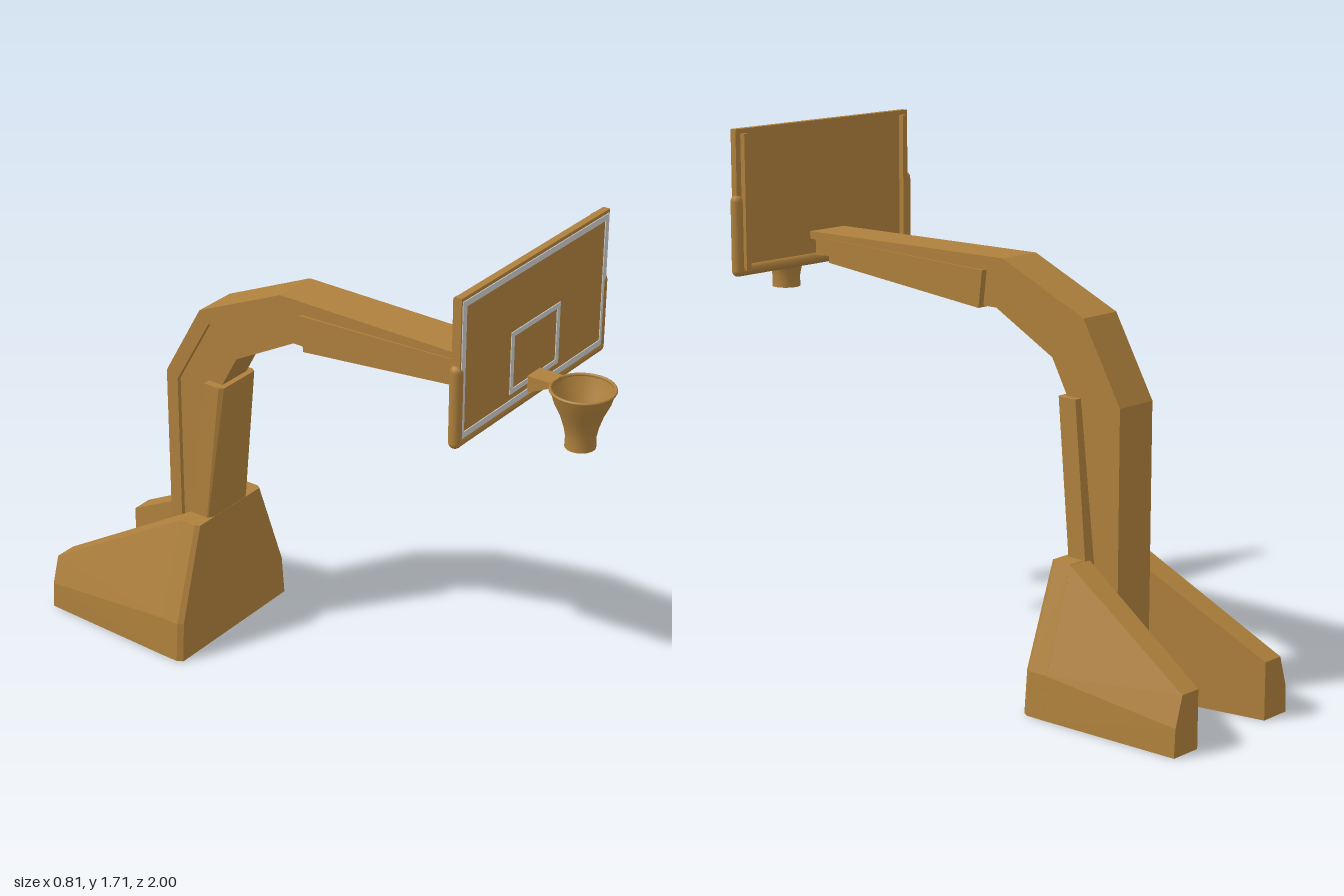
import * as THREE from 'three';
import { ConvexGeometry } from 'three/addons/geometries/ConvexGeometry.js';

export function createModel() {
  const root = new THREE.Group();
  const brown = new THREE.MeshStandardMaterial({ color: 0xae803c });
  const smooth = new THREE.MeshStandardMaterial({ color: 0xae803c, side: THREE.DoubleSide });
  const grey = new THREE.MeshStandardMaterial({ color: 0xcccccc });

  const add = (name, geo, mat = brown) => {
    const mesh = new THREE.Mesh(geo, mat);
    mesh.name = name;
    root.add(mesh);
    return mesh;
  };
  const box = (name, x0, x1, y0, y1, z0, z1, mat) =>
    add(name, new THREE.BoxGeometry(x1 - x0, y1 - y0, z1 - z0), mat)
      .position.set((x0 + x1) / 2, (y0 + y1) / 2, (z0 + z1) / 2);
  const hull = (name, pts) =>
    add(name, new ConvexGeometry(pts.map(p => new THREE.Vector3(...p))));
  // convex solid symmetric about x = 0
  const symHull = (name, pts) => hull(name, pts.flatMap(([x, y, z]) => [[x, y, z], [-x, y, z]]));
  // side outline given as [z, y], extruded across x
  const sideSlab = (name, pts, halfWidth) => {
    const shape = new THREE.Shape(pts.map(p => new THREE.Vector2(...p)));
    const geo = new THREE.ExtrudeGeometry(shape, { depth: halfWidth * 2, bevelEnabled: false });
    geo.translate(0, 0, -halfWidth).rotateY(-Math.PI / 2);
    return add(name, geo);
  };

  // Base: front block and two splayed rear legs
  symHull('baseFront', [
    [0.275, 0, -0.42], [0.265, 0.14, -0.422], [0.157, 0.465, -0.43],
    [0.287, 0, -0.44], [0.277, 0.14, -0.44], [0.167, 0.465, -0.445],
    [0.287, 0, -0.51], [0.277, 0.14, -0.51], [0.167, 0.465, -0.507]]);
  for (const s of [1, -1]) {
    hull(s > 0 ? 'leftBaseLeg' : 'rightBaseLeg', [
      [0.08, 0, -0.5], [0.287, 0, -0.5], [0.277, 0.14, -0.5], [0.167, 0.465, -0.505], [0.08, 0.465, -0.505],
      [0.165, 0, -1], [0.275, 0, -1], [0.27, 0.09, -1], [0.24, 0.185, -1], [0.165, 0.185, -1],
    ].map(([x, y, z]) => [x * s, y, z]));
  }

  // Curved mast: wide outer flange over a narrower web
  const outer = [[-0.62, 0], [-0.62, 0.95], [-0.475, 1.205], [-0.15, 1.35], [0.7, 1.345]];
  const middle = [[0.7, 1.32], [-0.135, 1.305], [-0.44, 1.165], [-0.575, 0.93], [-0.575, 0]];
  sideSlab('mastFlange', [...outer, ...middle], 0.077);
  sideSlab('mastWeb', [
    [-0.58, 0], [-0.58, 0.93], [-0.443, 1.17], [-0.135, 1.31], [0.69, 1.325],
    [0.69, 1.265], [0.6, 1.27], [-0.05, 1.19], [-0.11, 1.19], [-0.34, 1.065], [-0.4, 0.955],
    [-0.46, 0.88], [-0.505, 0.47], [-0.505, 0]], 0.062);

  // Sleeve around the forward arm
  symHull('armSleeve', [
    [0.084, 1.185, -0.055], [0.084, 1.305, -0.07], [0.08, 1.25, 0.61], [0.08, 1.328, 0.61]]);

  // Slanted front support
  symHull('frontSupport', [
    [0.078, 0.955, -0.38], [0.088, 0.955, -0.395], [0.088, 0.955, -0.455],
    [0.083, 0.3, -0.448], [0.107, 0.3, -0.463], [0.107, 0.3, -0.53]]);

  // Backboard, rear rails and edge padding
  box('backboard', -0.39, 0.39, 1.25, 1.705, 0.707, 0.73);
  for (const s of [1, -1]) {
    box('rearRail', s * 0.36 - 0.01, s * 0.36 + 0.01, 1.25, 1.69, 0.688, 0.71);
  }
  const pad = new THREE.CurvePath();
  const corners = [[-0.384, 1.475], [-0.384, 1.251], [0.384, 1.251], [0.384, 1.475]];
  for (let i = 0; i < 3; i++) {
    pad.add(new THREE.LineCurve3(
      new THREE.Vector3(...corners[i], 0.715), new THREE.Vector3(...corners[i + 1], 0.715)));
  }
  pad.curves.forEach((c, i) => {
    const len = c.getLength();
    const geo = new THREE.CapsuleGeometry(0.02, len, 4, 12);
    if (i === 1) geo.rotateZ(Math.PI / 2);
    add(i === 1 ? 'bottomPad' : 'sidePad', geo).position.copy(c.getPoint(0.5));
  });

  // Painted rectangular borders
  const border = (name, hx, y0, y1, t) => {
    const rect = (P, a, b, c) => new P([
      new THREE.Vector2(-a, b), new THREE.Vector2(a, b), new THREE.Vector2(a, c), new THREE.Vector2(-a, c)]);
    const shape = rect(THREE.Shape, hx, y0, y1);
    shape.holes.push(rect(THREE.Path, hx - t, y0 + t, y1 - t));
    add(name, new THREE.ExtrudeGeometry(shape, { depth: 0.004, bevelEnabled: false }), grey).position.z = 0.729;
  };
  border('boardBorder', 0.385, 1.262, 1.694, 0.019);
  border('targetSquare', 0.13, 1.3, 1.5, 0.016);

  // Rim bracket
  symHull('rimBracket', [
    [0.035, 1.265, 0.725], [0.035, 1.322, 0.725], [0.033, 1.322, 0.81], [0.033, 1.305, 0.81]]);

  // Rim and open net
  const rim = add('rim', new THREE.TorusGeometry(0.096, 0.005, 8, 32), smooth);
  rim.rotation.x = Math.PI / 2;
  rim.position.set(0, 1.317, 0.9);
  const profile = [[0.047, 1.13], [0.046, 1.165], [0.052, 1.195], [0.065, 1.235], [0.084, 1.275], [0.097, 1.317]];
  add('net', new THREE.LatheGeometry(profile.map(p => new THREE.Vector2(...p)), 32), smooth).position.z = 0.9;

  return root;
}
